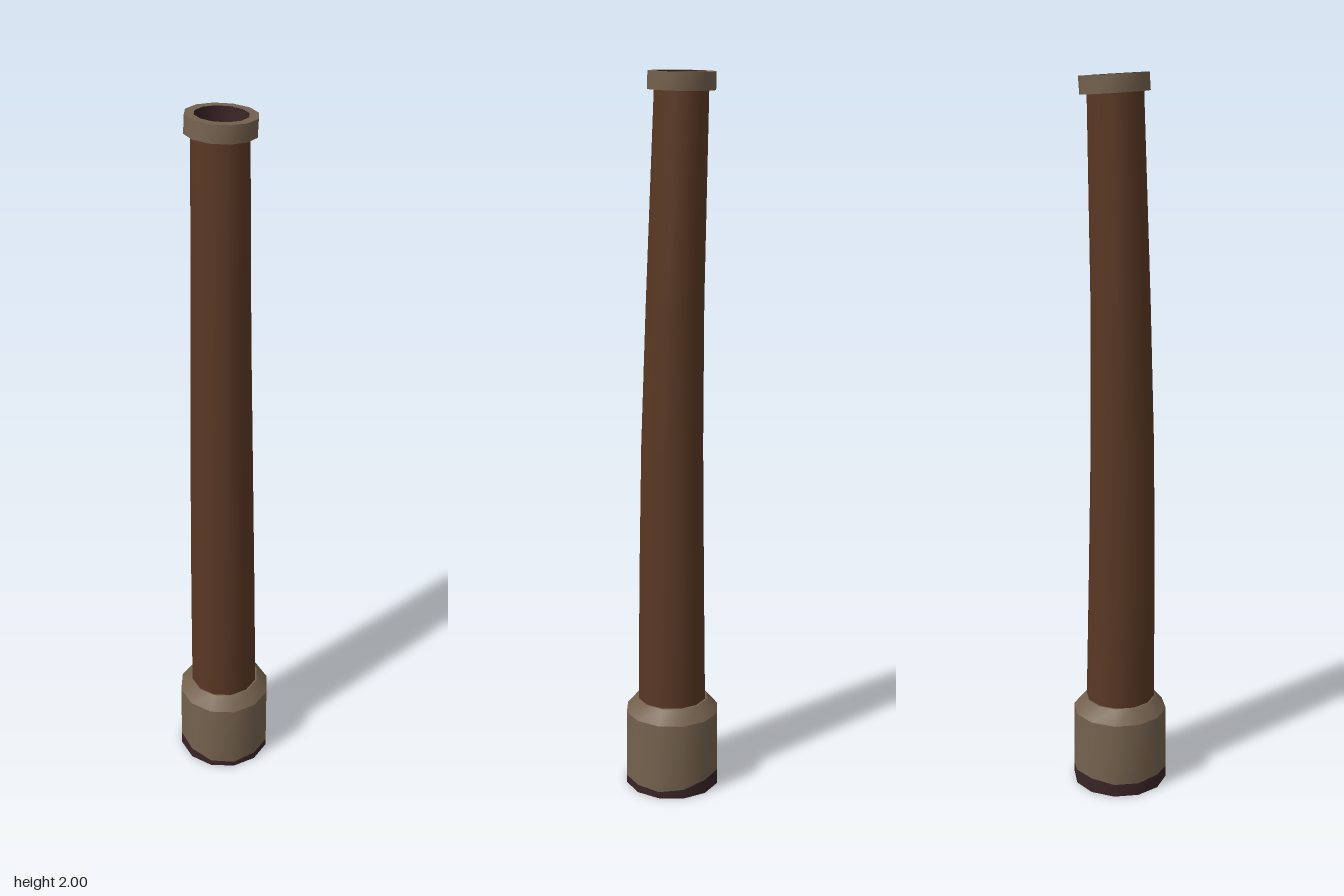
import * as THREE from 'three';
import { toCreasedNormals } from 'three/addons/utils/BufferGeometryUtils.js';

const SIDES = 12;

// Skin stacked 12-sided rings [y, radius, x, z, tilt]; y may be a function of the angle.
function loft(rings) {
  const pos = [];
  const point = ([y, r, x = 0, z = 0, tilt = 0], i) => {
    const a = ((i % SIDES) / SIDES) * Math.PI * 2;
    const h = typeof y === 'function' ? y(a) : y;
    return [x + r * Math.cos(a), h + tilt * r * Math.sin(a), z + r * Math.sin(a)];
  };
  for (let k = 0; k < rings.length - 1; k++) {
    const lo = rings[k], hi = rings[k + 1];
    for (let i = 0; i < SIDES; i++) {
      const a = point(lo, i), b = point(lo, i + 1), c = point(hi, i), d = point(hi, i + 1);
      if (lo[1] > 0) pos.push(...a, ...c, ...b);
      if (hi[1] > 0) pos.push(...b, ...c, ...d);
    }
  }
  const g = new THREE.BufferGeometry();
  g.setAttribute('position', new THREE.Float32BufferAttribute(pos, 3));
  return toCreasedNormals(g, 0.6);
}

export function createModel() {
  const group = new THREE.Group();
  const add = (name, color, rings) => {
    const mesh = new THREE.Mesh(loft(rings), new THREE.MeshStandardMaterial({ color }));
    mesh.name = name;
    group.add(mesh);
  };
  const brown = 0x5a3823, stone = 0x75624e, soot = 0x3a2426;

  // Uneven sooty edge around the foot
  const edge = (a) => 0.03 - 0.012 * Math.cos(a) + 0.006 * Math.cos(3 * a + 0.6);
  add('footEdge', soot, [[0, 0.135], [edge, 0.135]]);
  add('footUnderside', brown, [[0, 0], [0, 0.135]]);

  // Base collar with a chamfered shoulder
  add('baseCollar', stone, [[edge, 0.135], [0.22, 0.134], [0.258, 0.102], [0.258, 0.09]]);

  // Tapering, slightly bent shaft
  add('shaft', brown, [
    [0.24, 0.098, 0, 0.001],
    [0.6, 0.094, 0, 0.005],
    [1.0, 0.088, -0.002, 0.007],
    [1.4, 0.081, -0.009, 0.003],
    [1.955, 0.074, -0.023, -0.009, 0.06],
  ]);

  // Tilted top rim, then the hollow below it
  const x = -0.023, z = -0.013, t = 0.06;
  add('topRim', stone, [
    [1.949, 0.07, x, z + 0.003, t], [1.949, 0.092, x, z + 0.003, t],
    [1.995, 0.092, x, z, t], [1.995, 0.068, x, z, t],
  ]);
  add('hollow', soot, [
    [1.995, 0.068, x, z, t], [1.83, 0.066, x + 0.002, z + 0.011, t], [1.83, 0, x + 0.002, z + 0.011, t],
  ]);
  return group;
}
